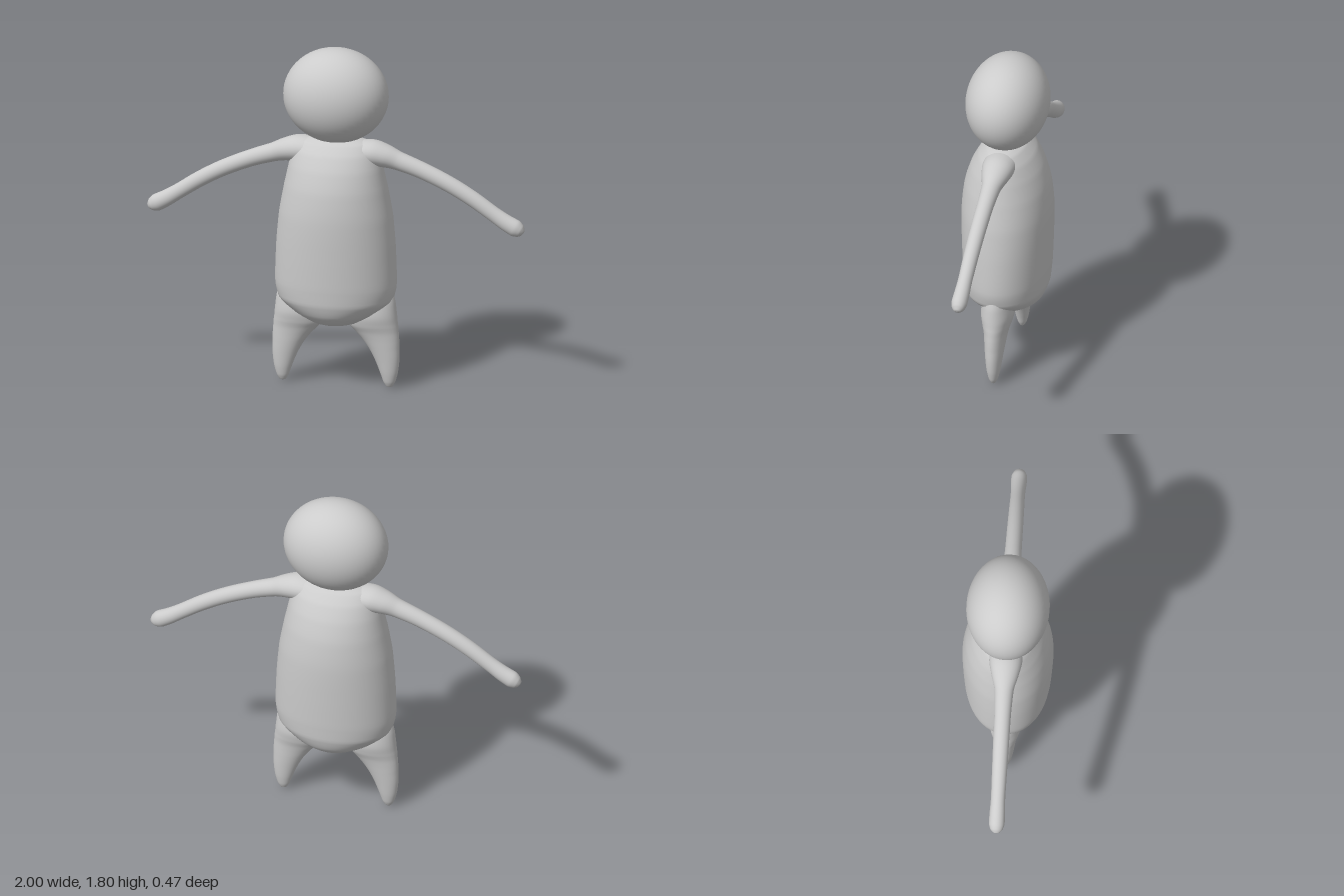
import * as THREE from 'three';
import { mergeVertices } from 'three/addons/utils/BufferGeometryUtils.js';

const material = new THREE.MeshStandardMaterial({ color: 0xcccccc });

// Smooth skin over elliptical rings. Each row is [x, y, radius in the xy plane, radius in z].
// Rings stay level, or follow the path when "follow" is set.
function loft(name, rows, { follow = false, steps = 48, sides = 40 } = {}) {
  const path = new THREE.CatmullRomCurve3(rows.map(([x, y]) => new THREE.Vector3(x, y, 0)));
  const radii = new THREE.CatmullRomCurve3(rows.map((r) => new THREE.Vector3(r[2], r[3], 0)));
  const positions = [], index = [];
  for (let i = 0; i <= steps; i++) {
    const t = i / steps;
    const c = path.getPoint(t), r = radii.getPoint(t);
    const d = follow ? path.getTangent(t) : new THREE.Vector3(0, 1, 0);
    const a = Math.max(r.x, 0), b = Math.max(r.y, 0);
    for (let j = 0; j < sides; j++) {
      const angle = (j / sides) * Math.PI * 2;
      const u = a * Math.cos(angle);
      positions.push(c.x + d.y * u, c.y - d.x * u, b * Math.sin(angle));
      if (i === steps) continue;
      const p = i * sides + j, q = i * sides + (j + 1) % sides;
      index.push(p, p + sides, q, q, p + sides, q + sides);
    }
  }
  let geometry = new THREE.BufferGeometry();
  geometry.setAttribute('position', new THREE.Float32BufferAttribute(positions, 3));
  geometry.setIndex(index);
  geometry = mergeVertices(geometry, 1e-5);
  geometry.computeVertexNormals();
  const mesh = new THREE.Mesh(geometry, material);
  mesh.name = name;
  return mesh;
}

export function createModel() {
  const model = new THREE.Group();
  model.name = 'figure';

  // Egg-shaped head, wider than deep
  const head = new THREE.Mesh(new THREE.SphereGeometry(1, 48, 32), material);
  head.name = 'head';
  head.scale.set(0.275, 0.25, 0.215);
  head.position.y = 1.555;
  model.add(head);

  // Barrel torso with a rounded, narrowing underside
  model.add(loft('torso', [
    [0, 0.33, 0, 0], [0, 0.332, 0.07, 0.07], [0, 0.35, 0.13, 0.13],
    [0, 0.4, 0.22, 0.188], [0, 0.47, 0.3, 0.215], [0, 0.56, 0.318, 0.223],
    [0, 0.75, 0.312, 0.231], [0, 0.92, 0.297, 0.234], [0, 1.07, 0.27, 0.22],
    [0, 1.18, 0.246, 0.188], [0, 1.26, 0.222, 0.146], [0, 1.31, 0.185, 0.1],
    [0, 1.328, 0.12, 0.06], [0, 1.33, 0, 0],
  ], { steps: 78, sides: 56 }));

  for (const [side, label] of [[1, 'left'], [-1, 'right']]) {
    const mirror = (rows) => rows.map(([x, ...rest]) => [x * side, ...rest]);

    // Drooping arm, flared at the shoulder, with a rounded mitten end
    model.add(loft(label + 'Arm', mirror([
      [0.08, 1.255, 0.06, 0.09], [0.19, 1.258, 0.068, 0.085], [0.26, 1.246, 0.06, 0.07],
      [0.33, 1.224, 0.049, 0.05], [0.45, 1.183, 0.044, 0.043], [0.6, 1.117, 0.042, 0.041],
      [0.72, 1.05, 0.041, 0.039], [0.83, 0.977, 0.04, 0.037], [0.9, 0.932, 0.043, 0.04],
      [0.945, 0.908, 0.045, 0.041], [0.975, 0.892, 0.034, 0.032], [0.99, 0.884, 0.016, 0.016],
      [0.993, 0.882, 0, 0],
    ]), { follow: true, steps: 60, sides: 28 }));

    // Pointed leg, sweeping inward to the crotch
    model.add(loft(label + 'Leg', mirror([
      [0.282, 0, 0, 0], [0.282, 0.005, 0.015, 0.011], [0.282, 0.03, 0.031, 0.024],
      [0.28, 0.08, 0.047, 0.035], [0.27, 0.15, 0.065, 0.044], [0.254, 0.21, 0.081, 0.051],
      [0.235, 0.26, 0.099, 0.057], [0.215, 0.3, 0.116, 0.064], [0.198, 0.335, 0.13, 0.075],
      [0.19, 0.39, 0.132, 0.085], [0.19, 0.46, 0.124, 0.078], [0.19, 0.54, 0.1, 0.06],
      [0.19, 0.6, 0, 0],
    ]), { steps: 60, sides: 32 }));
  }
  return model;
}
